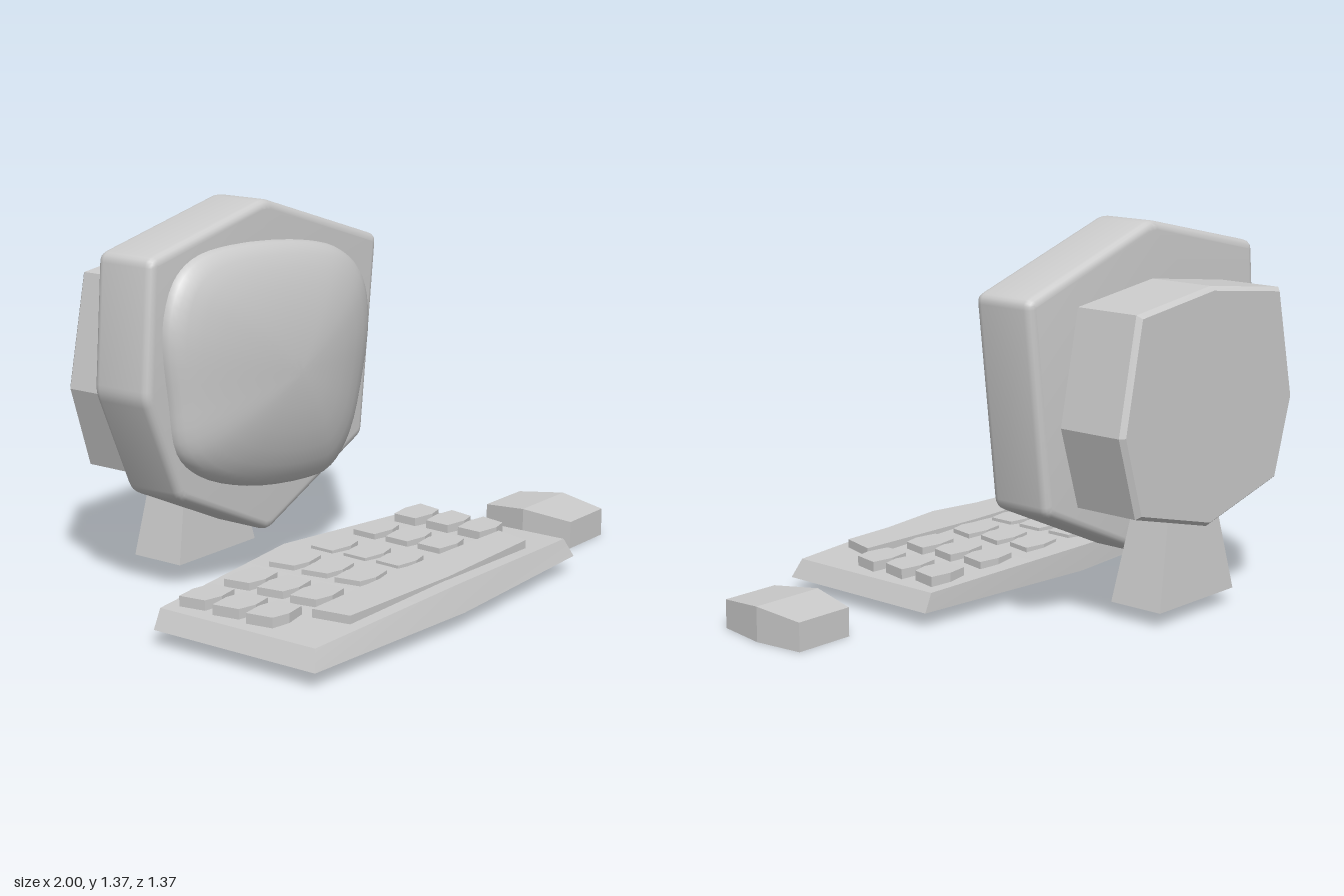
import * as THREE from 'three';
import { toCreasedNormals } from 'three/addons/utils/BufferGeometryUtils.js';

const CX = -0.22; // centre line of the monitor and keyboard

// Skin a stack of equal-length loops (counter-clockwise seen from the last one)
// and close both ends with fans from the first point of the loop.
function loft(loops, crease = 0.2) {
  const pos = [];
  const tri = (...pts) => pts.forEach((p) => pos.push(...p));
  const n = loops[0].length;
  for (let k = 0; k < loops.length - 1; k++) {
    const a = loops[k], b = loops[k + 1];
    for (let i = 0; i < n; i++) {
      const j = (i + 1) % n;
      tri(a[i], a[j], b[j]);
      tri(a[i], b[j], b[i]);
    }
  }
  const first = loops[0], last = loops[loops.length - 1];
  for (let i = 1; i < n - 1; i++) {
    tri(first[0], first[i + 1], first[i]);
    tri(last[0], last[i], last[i + 1]);
  }
  const geo = new THREE.BufferGeometry();
  geo.setAttribute('position', new THREE.Float32BufferAttribute(pos, 3));
  return toCreasedNormals(geo, crease);
}

// Loop in the xy plane at depth z, scaled about a centre
const loopXY = (pts, z, s = 1, cx = 0, cy = 0) =>
  pts.map(([x, y]) => [cx + (x - cx) * s, cy + (y - cy) * s, z]);
// Loop in the xz plane at height y
const loopXZ = (pts, y) => pts.map(([x, z]) => [x, y, z]);

// Closed shape whose corners are rounded over distance r
function roundedShape(pts, r) {
  const shape = new THREE.Shape();
  const v = pts.map(([x, y]) => new THREE.Vector2(x, y));
  v.forEach((p, i) => {
    const toward = (q) => p.clone().add(q.clone().sub(p).setLength(r));
    const a = toward(v[(i + v.length - 1) % v.length]);
    const b = toward(v[(i + 1) % v.length]);
    if (i === 0) shape.moveTo(a.x, a.y);
    else shape.lineTo(a.x, a.y);
    shape.quadraticCurveTo(p.x, p.y, b.x, b.y);
  });
  shape.closePath();
  return shape;
}

export function createModel() {
  const model = new THREE.Group();
  model.name = 'desktopComputer';
  const grey = new THREE.MeshStandardMaterial({ color: 0xcccccc });
  const add = (name, geo, parent = model) => {
    const mesh = new THREE.Mesh(geo, grey);
    mesh.name = name;
    parent.add(mesh);
    return mesh;
  };
  const group = (name) => {
    const g = new THREE.Group();
    g.name = name;
    model.add(g);
    return g;
  };

  // Monitor: crooked seven-sided frame with soft edges
  const monitor = group('monitor');
  const outline = [[-0.22, 1.373], [-0.815, 1.24], [-0.853, 0.77], [-0.69, 0.395],
    [-0.22, 0.178], [0.335, 0.425], [0.425, 1.165]];
  const bevel = 0.03;
  const frame = new THREE.ExtrudeGeometry(roundedShape(outline, 0.03), {
    depth: 0.245 - 2 * bevel, curveSegments: 4,
    bevelEnabled: true, bevelThickness: bevel, bevelSize: bevel, bevelOffset: -bevel, bevelSegments: 4,
  });
  frame.translate(0, 0, -0.42 + bevel);
  add('monitorFrame', toCreasedNormals(frame, 0.6), monitor);

  // Bulging screen: rounded outline shrinking along a dome profile
  const rim = [[-0.42, 1.238], [-0.62, 1.215], [-0.715, 1.15], [-0.77, 1.0], [-0.747, 0.75],
    [-0.71, 0.565], [-0.6, 0.465], [-0.35, 0.375], [-0.04, 0.333], [0.1, 0.345],
    [0.215, 0.45], [0.3, 0.68], [0.335, 0.88], [0.3, 1.04], [0.19, 1.14], [0, 1.2]];
  const rimCurve = new THREE.CatmullRomCurve3(
    rim.map(([x, y]) => new THREE.Vector3(x, y, 0)), true);
  const rimPts = rimCurve.getPoints(64).slice(0, 64).map((p) => [p.x, p.y]);
  const dome = [[1, -0.21], [1, -0.172], [0.985, -0.152], [0.955, -0.134], [0.9, -0.115], [0.8, -0.092],
    [0.67, -0.07], [0.5, -0.05], [0.3, -0.034], [0.12, -0.027], [0.03, -0.025]];
  add('screen', loft(dome.map(([s, z]) => loopXY(rimPts, z, s, CX, 0.78)), 0.7), monitor);

  // Faceted rear housing with a chamfered back edge
  const rear = [[CX, 1.17], [-0.62, 1.12], [-0.705, 0.72], [-0.615, 0.43],
    [CX, 0.33], [0.175, 0.43], [0.265, 0.72], [0.18, 1.12]];
  add('rearHousing', loft([
    loopXY(rear, -0.685, 0.965, CX, 0.75),
    loopXY(rear, -0.668),
    loopXY(rear, -0.4),
  ]), monitor);

  // Tapered stand
  const rect = (hw, z0, z1) => [[CX - hw, z1], [CX + hw, z1], [CX + hw, z0], [CX - hw, z0]];
  add('stand', loft([
    loopXZ(rect(0.21, -0.635, -0.42), 0.055),
    loopXZ(rect(0.14, -0.61, -0.45), 0.365),
  ]), monitor);

  // Keyboard base: six-sided slab, ridged along its middle
  const keyboard = group('keyboard');
  const baseLow = loopXZ([[-0.24, -0.095], [-1, -0.03], [-1, 0.64], [-0.24, 0.683], [0.52, 0.64], [0.52, -0.03]], 0.055);
  const baseTop = [[-0.24, 0.15, -0.095], [-0.967, 0.122, -0.03], [-0.967, 0.122, 0.615],
    [-0.24, 0.15, 0.655], [0.49, 0.122, 0.615], [0.49, 0.122, -0.03]];
  add('keyboardBase', loft([baseLow, baseTop]), keyboard);

  // Keys: three rows of six slightly crooked hexagons
  const key = (pts) => loft([loopXZ(pts, 0.1), loopXZ(pts, 0.16)]);
  const columns = [-0.838, -0.612, -0.373, -0.138, 0.11, 0.36];
  for (const z of [0.063, 0.207, 0.347]) {
    columns.forEach((x, i) => {
      const lean = i < 3 ? 0.01 : -0.01;
      const pts = [[0, -0.063], [-0.083, -0.05], [-0.078 + lean, 0.048],
        [0, 0.063], [0.072 + lean, 0.048], [0.083, -0.05]];
      add('key', key(pts.map(([px, pz]) => [x + px, z + pz])), keyboard);
    });
  }
  add('spaceBar', key([[CX, 0.425], [-0.76, 0.44], [-0.74, 0.58], [CX, 0.6], [0.29, 0.58], [0.33, 0.44]]), keyboard);

  // Mouse: six-sided block with a crosswise ridge
  const plan = [[0.715, 0.295], [0.74, 0.49], [0.965, 0.49], [1, 0.295], [0.98, 0.108], [0.75, 0.108]];
  add('mouse', loft([
    loopXZ(plan, 0),
    plan.map(([x, z], i) => [x, i % 3 === 0 ? 0.125 : 0.103, z]),
  ], 0.05));

  return model;
}
